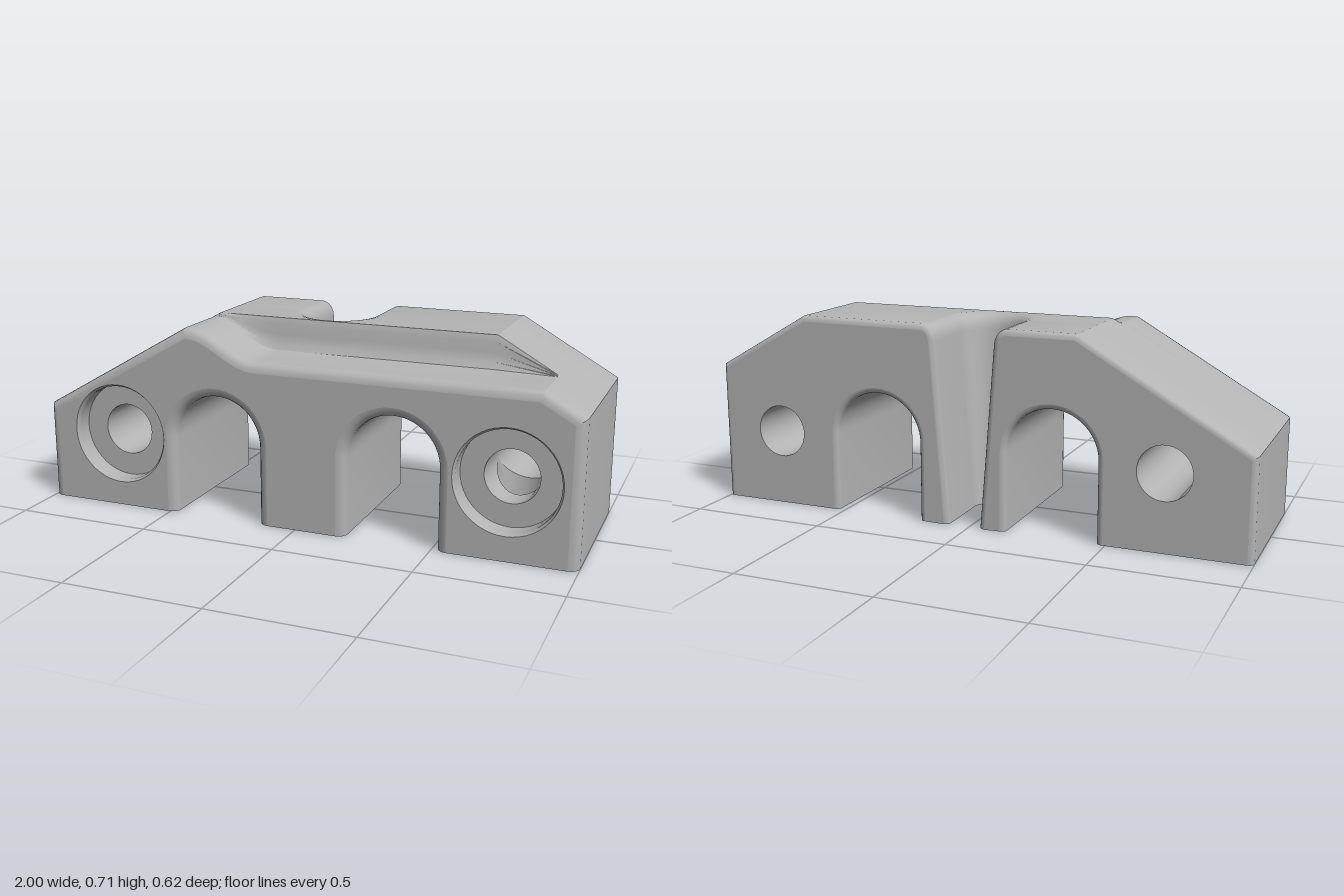
import * as THREE from 'three';
import { toCreasedNormals } from 'three/addons/utils/BufferGeometryUtils.js';

const FRONT = 0.31, BACK = -0.31, STEP = 0.08;   // main depths
const SLOT_X = 0.0175, SLOT_Z = -0.087;          // axis of the slot's round end
const ARCHES = [[-0.47, -0.14], [0.19, 0.52]];
const BORES = [-0.70, 0.755], BORE_Y = 0.275, BORE_R = 0.095, SINK_R = 0.178, SINK_Z = 0.24;
const CROSS_Z = 0.05;                            // hole from below into the second bore

// Rounded front and back edges: depth z with inset d
const edge = (z, r, dir) => [0, 1, 2, 3, 4].map(k => {
  const a = k * Math.PI / 8;
  return { z: z - dir * r * (1 - Math.cos(a)), d: r * (1 - Math.sin(a)) };
});
const frontEdge = edge(FRONT, 0.035, 1);
const backEdge = edge(BACK, 0.02, -1).reverse();
const allEdges = [...frontEdge, ...backEdge];

// Skin between rows of 3D points
function loft(rows) {
  const pos = [];
  for (let j = 0; j < rows.length - 1; j++) {
    for (let i = 0; i < rows[j].length - 1; i++) {
      const a = rows[j][i], b = rows[j][i + 1], c = rows[j + 1][i + 1], d = rows[j + 1][i];
      pos.push(...a, ...b, ...c, ...a, ...c, ...d);
    }
  }
  const g = new THREE.BufferGeometry();
  g.setAttribute('position', new THREE.Float32BufferAttribute(pos, 3));
  return toCreasedNormals(g, 0.5);
}

// Move an open path into the solid, which lies on its right-hand side
function inset(path, d) {
  const normals = path.slice(1).map((p, i) => {
    const dx = p[0] - path[i][0], dy = p[1] - path[i][1], l = Math.hypot(dx, dy) || 1;
    return [-dy / l, dx / l];
  });
  return path.map((p, i) => {
    const m = normals[Math.max(i - 1, 0)], n = normals[Math.min(i, normals.length - 1)];
    const s = d / (1 + m[0] * n[0] + m[1] * n[1]);
    return [p[0] - (m[0] + n[0]) * s, p[1] - (m[1] + n[1]) * s];
  });
}
const atZ = (path, z) => path.map(p => [p[0], p[1], z]);
const sweep = (path, sections) => loft(sections.map(s => atZ(inset(path, s.d), s.z)));

const arc = (x, y, r, a0, a1, n) => Array.from({ length: n + 1 }, (_, i) => {
  const a = a0 + (a1 - a0) * i / n;
  return [x + r * Math.cos(a), y + r * Math.sin(a)];
});
const circle = (x, y, r) => arc(x, y, r, 0, Math.PI * 2, 48);

function flat(points, holes = []) {
  const shape = new THREE.Shape(points.map(p => new THREE.Vector2(...p)));
  for (const h of holes) shape.holes.push(new THREE.Path(h.slice(0, -1).map(p => new THREE.Vector2(...p))));
  return new THREE.ShapeGeometry(shape);
}

// Full height and lowered front height of the outline
const high = x => x < -0.39 ? 0.36 + (x + 1) * 0.35 / 0.61 : x > 0.65 ? 0.71 - (x - 0.65) * 0.2 / 0.35 : 0.71;
const low = x => Math.min(high(x), 0.69 - 0.1 * THREE.MathUtils.smoothstep(x, -0.4, -0.15));
const xs = [-1, -0.425];
for (let i = 0; i <= 12; i++) xs.push(-0.41 + i * 0.0225);
xs.push(-0.39, 0.65, 0.86, 1);
xs.sort((a, b) => a - b);
const outline = f => [[-1, 0], ...xs.map(x => [x, low(x) + (high(x) - low(x)) * f]), [1, 0]];

// Slot half width against height: tapered wall, rounded lip
const slot = [[0.0575, 0]];
for (let k = 0; k <= 5; k++) {
  const a = k * Math.PI / 10;
  slot.push([0.1575 - 0.0475 * Math.cos(a), 0.65 + 0.06 * Math.sin(a)]);
}
const LIP = 0.1575;

export function createModel() {
  const group = new THREE.Group();
  const grey = new THREE.MeshStandardMaterial({ color: 0xb4b4b4 });
  grey.name = 'grey';
  const add = (name, geometry) => {
    const mesh = new THREE.Mesh(geometry, grey);
    mesh.name = name;
    group.add(mesh);
    return mesh;
  };

  // Arches, walked so that the solid is on the right
  const archPaths = ARCHES.map(([l, r]) => {
    const R = (r - l) / 2;
    return [[r, 0], ...arc((l + r) / 2, 0.45 - R, R, 0, Math.PI, 28), [l, 0]];
  });
  archPaths.forEach(p => add('arch', sweep(p, allEdges)));

  // Outer skin of the front, blending up to full height at the step
  const step = [[0.135, 0], [0.115, 0.07], [0.1, 0.25], [0.092, 0.5], [0.089, 0.8], [STEP, 1]];
  add('frontShell', loft([
    ...frontEdge.map(s => atZ(inset(outline(0), s.d), s.z)),
    ...step.map(([z, f]) => atZ(outline(f), z)),
  ]));

  // Outer skin behind the step
  const leftTop = [[-1, 0], [-1, 0.36], [-0.39, 0.71]];
  const rightTop = [[0.65, 0.71], [1, 0.51], [1, 0]];
  const middle = [{ z: STEP, d: 0 }, { z: SLOT_Z, d: 0 }];
  add('middleShell', sweep([...leftTop, [-0.14, 0.71]], middle));
  add('middleShell', sweep([[0.19, 0.71], ...rightTop], middle));

  // Back halves with the slot walls
  const leftBack = [...leftTop, ...slot.map(([w, y]) => [SLOT_X - w, y]).reverse()];
  const rightBack = [...slot.map(([w, y]) => [SLOT_X + w, y]), ...rightTop];
  const rear = [{ z: SLOT_Z, d: 0 }, ...backEdge];
  add('backShell', sweep(leftBack, rear));
  add('backShell', sweep(rightBack, rear));

  // Round end of the slot and the top around it
  add('slotEnd', loft(Array.from({ length: 25 }, (_, j) => {
    const a = Math.PI * (1 - j / 24);
    return slot.map(([w, y]) => [SLOT_X + w * Math.cos(a), y, SLOT_Z + w * Math.sin(a)]);
  })));
  add('slotTop', flat([
    [-0.14, -STEP], [0.19, -STEP], [0.19, -SLOT_Z],
    ...arc(SLOT_X, -SLOT_Z, LIP, 0, -Math.PI, 24), [-0.14, -SLOT_Z],
  ]).rotateX(-Math.PI / 2).translate(0, 0.71, 0));

  // Front and back faces
  const rf = frontEdge[0].d, rb = backEdge[4].d;
  const mouth = 0.186;
  add('frontFace', flat([
    ...inset(outline(0), rf), ...inset(archPaths[1], rf), ...inset(archPaths[0], rf),
  ], BORES.map(x => circle(x, BORE_Y, mouth)))).position.z = FRONT;
  [leftBack, rightBack].forEach((path, i) => {
    const flip = pts => pts.map(([x, y]) => [-x, y]);
    add('backFace', flat(
      flip([...inset(path, rb), ...inset(archPaths[i], rb)]),
      [flip(circle(BORES[i], BORE_Y, BORE_R))],
    ).rotateY(Math.PI)).position.z = BACK;
  });

  // Undersides of the legs
  const side = (x, s) => allEdges.map(({ z, d }) => [x + s * d, z]);
  const underside = (x0, x1, notch = [], holes = []) => add('legUnderside',
    flat([...side(x0, 1), ...notch, ...side(x1, -1).reverse()], holes).rotateX(Math.PI / 2));
  const w0 = slot[0][0];
  underside(-1, -0.47);
  underside(-0.14, 0.19, [
    ...backEdge.map(({ z, d }) => [SLOT_X - w0 - d, z]).reverse(),
    ...arc(SLOT_X, SLOT_Z, w0, Math.PI, 0, 24),
    ...backEdge.map(({ z, d }) => [SLOT_X + w0 + d, z]),
  ]);
  underside(0.52, 1, [], [circle(BORES[1], CROSS_Z, BORE_R)]);

  // Bores with sunk mouths; the second one meets the hole from below
  BORES.forEach((x, i) => {
    add('counterbore', loft([[mouth, FRONT], [SINK_R, FRONT - 0.012], [SINK_R, SINK_Z]]
      .map(([r, z]) => atZ(circle(x, BORE_Y, r), z))));
    add('counterboreFloor', new THREE.RingGeometry(BORE_R, SINK_R, 48)).position.set(x, BORE_Y, SINK_Z);
    const ring = circle(x, BORE_Y, BORE_R);
    if (i === 0) {
      add('bore', loft([atZ(ring, SINK_Z), atZ(ring, BACK)]));
    } else {
      const cut = s => ring.map(([px, py]) => [px, py, CROSS_Z + s * Math.max(0, BORE_Y - py)]);
      add('bore', loft([atZ(ring, SINK_Z), cut(1)]));
      add('bore', loft([cut(-1), atZ(ring, BACK)]));
    }
  });
  const foot = circle(BORES[1], CROSS_Z, BORE_R);
  add('lowerHole', loft([
    foot.map(([x, z]) => [x, 0, z]),
    foot.map(([x, z]) => [x, BORE_Y - Math.abs(z - CROSS_Z), z]),
  ]));

  return group;
}
